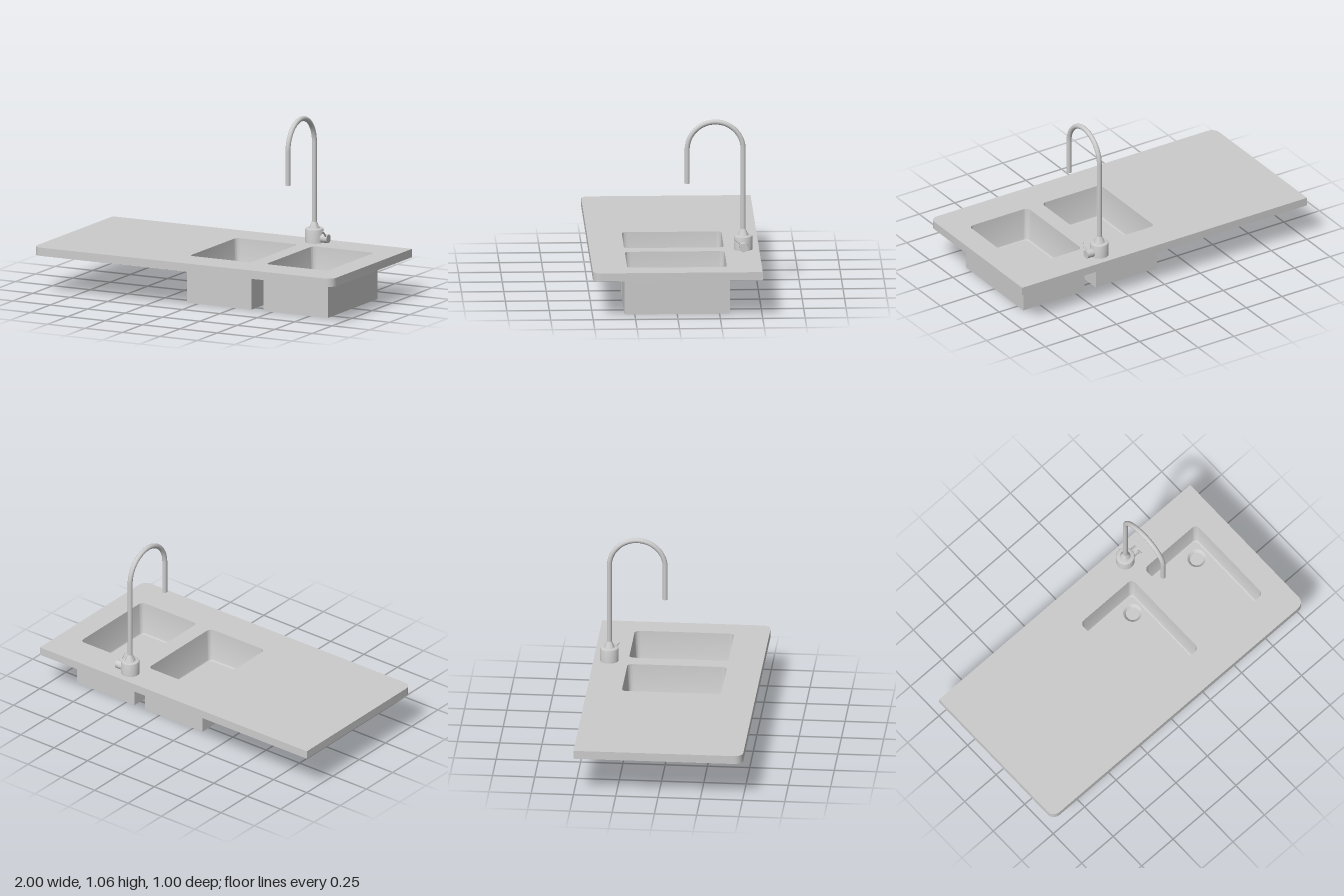
import * as THREE from 'three';
import { mergeVertices, toCreasedNormals } from 'three/addons/utils/BufferGeometryUtils.js';

const TOP = 0.28, UNDER = 0.23, FLOOR = 0.08;
const material = new THREE.MeshStandardMaterial({ color: 0xcccccc, side: THREE.DoubleSide });

function part(name, geometry, x = 0, y = 0, z = 0) {
  const mesh = new THREE.Mesh(geometry, material);
  mesh.name = name;
  mesh.position.set(x, y, z);
  return mesh;
}

// Points of a rounded rectangle; front and back corners may differ in radius.
function roundedRect(cx, hw, hd, rFront, rBack = rFront, steps = 6) {
  const points = [];
  const corners = [[1, 1, rFront], [-1, 1, rFront], [-1, -1, rBack], [1, -1, rBack]];
  corners.forEach(([sx, sz, r], i) => {
    const n = r > 0 ? steps : 0;
    for (let k = 0; k <= n; k++) {
      const a = (i + (n ? k / n : 0)) * Math.PI / 2;
      points.push(new THREE.Vector2(cx + sx * (hw - r) + r * Math.cos(a), sz * (hd - r) + r * Math.sin(a)));
    }
  });
  return points;
}

// Horizontal sheet from an outline and holes, facing up.
function sheet(outline, holes) {
  const flip = p => new THREE.Vector2(p.x, -p.y);
  const shape = new THREE.Shape(outline.map(flip));
  shape.holes = holes.map(h => new THREE.Path(h.map(flip)));
  return new THREE.ShapeGeometry(shape).rotateX(-Math.PI / 2);
}

// Skin through matching closed rings, each { y, points }.
function loft(rings, crease = 0.6) {
  const n = rings[0].points.length, position = [], index = [];
  rings.forEach(({ y, points }) => points.forEach(p => position.push(p.x, y, p.y)));
  for (let r = 0; r < rings.length - 1; r++) {
    for (let i = 0; i < n; i++) {
      const a = r * n + i, b = r * n + (i + 1) % n;
      index.push(a, a + n, b, b, a + n, b + n);
    }
  }
  const geometry = new THREE.BufferGeometry();
  geometry.setAttribute('position', new THREE.Float32BufferAttribute(position, 3));
  geometry.setIndex(index);
  return toCreasedNormals(mergeVertices(geometry), crease);
}

function circle(cx, cz, r, n = 32) {
  return Array.from({ length: n }, (_, i) => {
    const a = i / n * Math.PI * 2;
    return new THREE.Vector2(cx + r * Math.cos(a), cz + r * Math.sin(a));
  });
}

function lathe(profile, segments = 32) {
  const geometry = new THREE.LatheGeometry(profile.map(([r, y]) => new THREE.Vector2(r, y)), segments);
  return toCreasedNormals(geometry, 0.6);
}

function createBasin(name, x) {
  const basin = new THREE.Group();
  basin.name = name;
  basin.position.x = x;

  // Tapered bowl with a small fillet round the floor
  basin.add(part('bowlWalls', loft([
    { y: FLOOR, points: roundedRect(0, 0.186, 0.274, 0.022) },
    { y: FLOOR + 0.003, points: roundedRect(0, 0.192, 0.28, 0.026) },
    { y: FLOOR + 0.012, points: roundedRect(0, 0.196, 0.284, 0.028) },
    { y: TOP, points: roundedRect(0, 0.206, 0.294, 0.03) },
  ])));
  const drainX = 0.116, drainZ = -0.188;
  const floor = sheet(roundedRect(0, 0.186, 0.274, 0.022), [circle(drainX, drainZ, 0.056)]);
  basin.add(part('bowlFloor', floor, 0, FLOOR, 0));
  basin.add(part('drain', lathe([[0, -0.015], [0.04, -0.015], [0.043, -0.01], [0.056, 0]]), drainX, FLOOR, drainZ));

  // Outer casing, open at the top
  const casing = new THREE.BoxGeometry(0.43, UNDER, 0.622);
  const faces = Array.from(casing.index.array);
  faces.splice(12, 6);
  casing.setIndex(faces);
  casing.clearGroups();
  basin.add(part('casing', casing, 0.003, UNDER / 2, 0));
  return basin;
}

function createFaucet() {
  const faucet = new THREE.Group();
  faucet.name = 'faucet';
  faucet.position.set(0.397, 0, -0.406);

  // Body with softened top edge and a cone up to the pipe
  faucet.add(part('body', lathe([
    [0, 0.24], [0.055, 0.24], [0.055, 0.357], [0.053, 0.362], [0.048, 0.365],
    [0.032, 0.365], [0.015, 0.403], [0, 0.403],
  ])));

  // Gooseneck pipe
  const R = 0.165, r = 0.0148, bendY = 0.885, tipY = 0.68;
  const straight = (a, b) => new THREE.TubeGeometry(new THREE.LineCurve3(a, b), 1, r, 20);
  const v = (y, z) => new THREE.Vector3(0, y, z);
  faucet.add(part('riser', straight(v(0.39, 0), v(bendY, 0))));
  const bend = new THREE.TorusGeometry(R, r, 20, 40, Math.PI).rotateY(Math.PI / 2);
  faucet.add(part('bend', bend, 0, bendY, R));
  faucet.add(part('spout', straight(v(bendY, 2 * R), v(tipY, 2 * R))));
  const tip = new THREE.CircleGeometry(r, 20).rotateX(Math.PI / 2);
  faucet.add(part('spoutTip', tip, 0, tipY, 2 * R));

  // Side knob with a slim lever
  const knob = new THREE.CylinderGeometry(0.026, 0.026, 0.07, 28).rotateZ(Math.PI / 2);
  faucet.add(part('knob', knob, 0.06, 0.308, 0));
  const lever = part('lever', new THREE.CylinderGeometry(0.004, 0.006, 0.062, 12), 0.085, 0.338, 0.03);
  lever.rotation.x = Math.PI / 4;
  faucet.add(lever);
  return faucet;
}

export function createModel() {
  const model = new THREE.Group();
  model.name = 'kitchenSink';
  const basinX = [0.142, 0.652];

  // Thin worktop with a turned-down rim, rounded at the front corners
  const outline = roundedRect(0, 1, 0.5, 0.05, 0, 8);
  const openings = basinX.map(x => roundedRect(x, 0.206, 0.294, 0.03));
  model.add(part('worktop', sheet(outline, openings), 0, TOP, 0));
  model.add(part('worktopRim', loft([{ y: TOP, points: outline }, { y: UNDER, points: outline }].reverse()
    .map(({ y, points }) => ({ y, points: [...points].reverse() })))));

  basinX.forEach((x, i) => model.add(createBasin(i ? 'leftBasin' : 'rightBasin', x)));
  model.add(createFaucet());
  return model;
}
